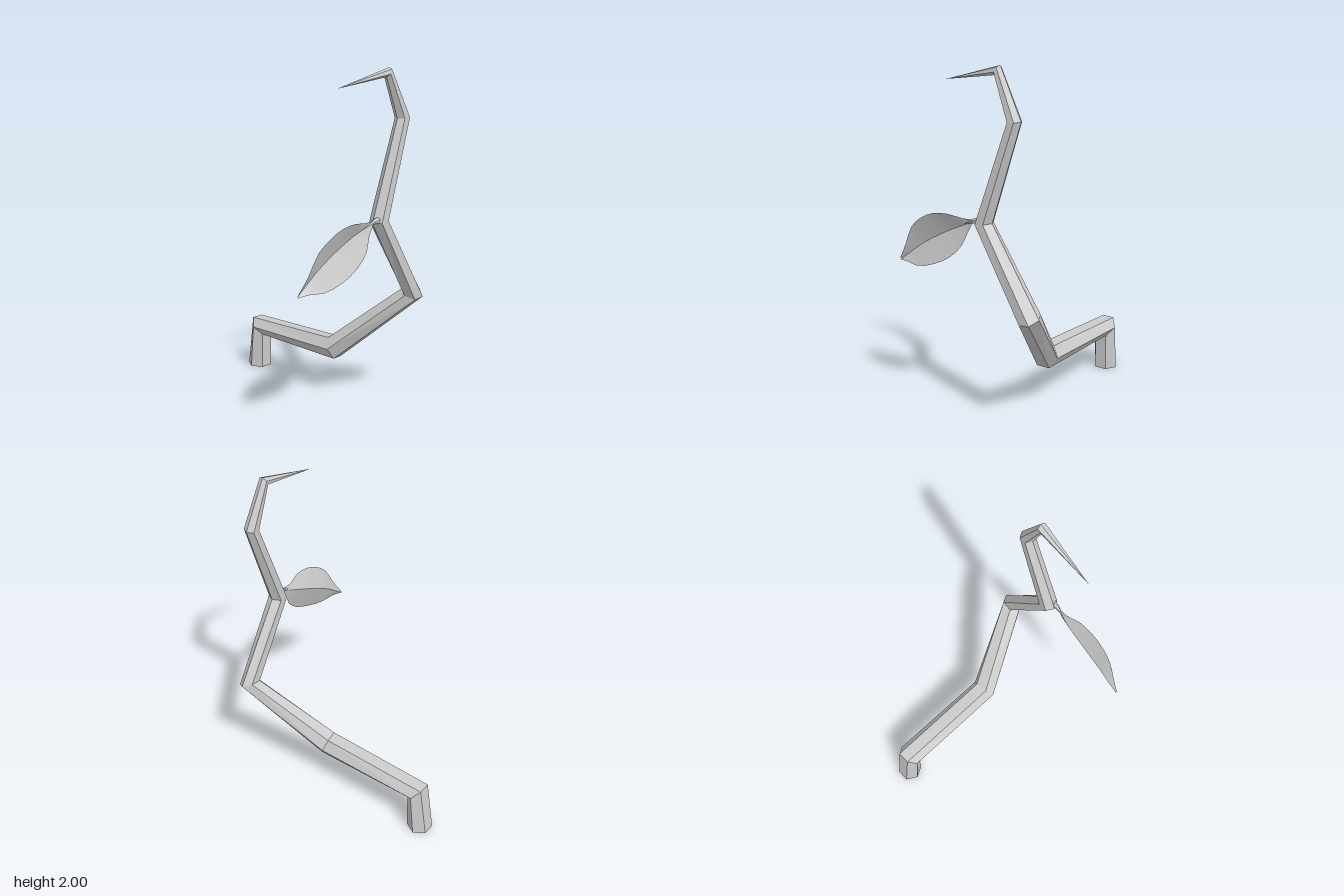
import * as THREE from 'three';

const V = (x, y, z) => new THREE.Vector3(x, y, z);

// Closed faceted tube: one plain hexagon per path point, set on the bisector of its joint
function hexTube(points, radii, mat) {
  const sides = 6, pos = [], n = points.length;
  const rings = points.map((p, i) => {
    const a = i > 0 ? p.clone().sub(points[i - 1]).normalize() : null;
    const b = i < n - 1 ? points[i + 1].clone().sub(p).normalize() : null;
    const t = i === 0 && p.y === 0 ? V(0, 1, 0) : V(0, 0, 0).add(a || b).add(b || a).normalize();
    const u = V(1, 0, 0).addScaledVector(t, -t.x).normalize();
    const w = t.clone().cross(u);
    return Array.from({ length: sides }, (_, k) => {
      const q = k * Math.PI * 2 / sides;
      return p.clone().addScaledVector(u, radii[i] * Math.cos(q)).addScaledVector(w, radii[i] * Math.sin(q));
    });
  });
  const tri = (...c) => c.forEach(v => pos.push(v.x, v.y, v.z));
  for (let k = 0; k < sides; k++) {
    const m = (k + 1) % sides;
    for (let i = 0; i < n - 1; i++) {
      const [A, B] = [rings[i], rings[i + 1]];
      tri(A[k], A[m], B[m]);
      if (radii[i + 1] > 0) tri(A[k], B[m], B[k]);
    }
    tri(points[0], rings[0][m], rings[0][k]);
  }
  const g = new THREE.BufferGeometry();
  g.setAttribute('position', new THREE.Float32BufferAttribute(pos, 3));
  g.computeVertexNormals();
  return new THREE.Mesh(g, mat);
}

// Smooth strip between two edge curves
function strip(edgeA, edgeB, steps, mat) {
  const ca = new THREE.CatmullRomCurve3(edgeA), cb = new THREE.CatmullRomCurve3(edgeB);
  const pos = [], idx = [], across = 2;
  for (let i = 0; i <= steps; i++) {
    const a = ca.getPoint(i / steps), b = cb.getPoint(i / steps);
    for (let j = 0; j <= across; j++) pos.push(...a.clone().lerp(b, j / across).toArray());
  }
  for (let i = 0; i < steps; i++) for (let j = 0; j < across; j++) {
    const p = i * (across + 1) + j, q = p + across + 1;
    idx.push(p, q, p + 1, p + 1, q, q + 1);
  }
  const g = new THREE.BufferGeometry();
  g.setAttribute('position', new THREE.Float32BufferAttribute(pos, 3));
  g.setIndex(idx);
  g.computeVertexNormals();
  return new THREE.Mesh(g, mat);
}

export function createModel() {
  const group = new THREE.Group();
  const flat = new THREE.MeshStandardMaterial({ color: 0xcccccc, flatShading: true });
  const thin = new THREE.MeshStandardMaterial({ color: 0xcccccc, side: THREE.DoubleSide });

  // Zigzag vine tapering to a pointed tip
  const vine = hexTube([
    V(0.227, 0, -0.555), V(0.227, 0.278, -0.53), V(0.227, 0.303, 0.135), V(0.42, 0.706, 0.57),
    V(0.123, 1.175, 0.563), V(0.313, 1.725, 0.549), V(0.20, 1.975, 0.535), V(-0.165, 1.905, 0.51),
  ], [0.076, 0.076, 0.077, 0.065, 0.054, 0.042, 0.029, 0], flat);
  vine.name = 'vine';
  group.add(vine);

  // Short stalk joining the leaf to the vine
  const stalk = hexTube([V(0.11, 1.185, 0.578), V(0.065, 1.182, 0.578), V(-0.01, 1.15, 0.57)], [0.024, 0.013, 0], flat);
  stalk.name = 'leafStalk';

  // Leaf blade folded along the midrib, edges curling forward
  const rib = [V(0.07, 1.185, 0.58), V(0.01, 1.155, 0.568), V(-0.07, 1.12, 0.556), V(-0.16, 1.078, 0.553),
    V(-0.26, 1.025, 0.552), V(-0.35, 0.97, 0.553), V(-0.43, 0.91, 0.554), V(-0.487, 0.868, 0.557)];
  const top = [V(0.07, 1.19, 0.582), V(-0.01, 1.185, 0.578), V(-0.10, 1.2, 0.598), V(-0.20, 1.19, 0.602),
    V(-0.29, 1.15, 0.6), V(-0.37, 1.085, 0.59), V(-0.43, 0.97, 0.578), V(-0.49, 0.875, 0.562)];
  const low = [V(0.065, 1.18, 0.582), V(0.025, 1.11, 0.582), V(-0.01, 1.03, 0.598), V(-0.09, 0.957, 0.608),
    V(-0.20, 0.902, 0.61), V(-0.33, 0.866, 0.598), V(-0.42, 0.872, 0.58), V(-0.485, 0.864, 0.562)];
  const leaf = new THREE.Group();
  leaf.name = 'leaf';
  const upper = strip(top, rib, 14, thin);
  upper.name = 'leafUpperHalf';
  const lower = strip(rib, low, 14, thin);
  lower.name = 'leafLowerHalf';
  leaf.add(upper, lower, stalk);
  group.add(leaf);
  return group;
}
